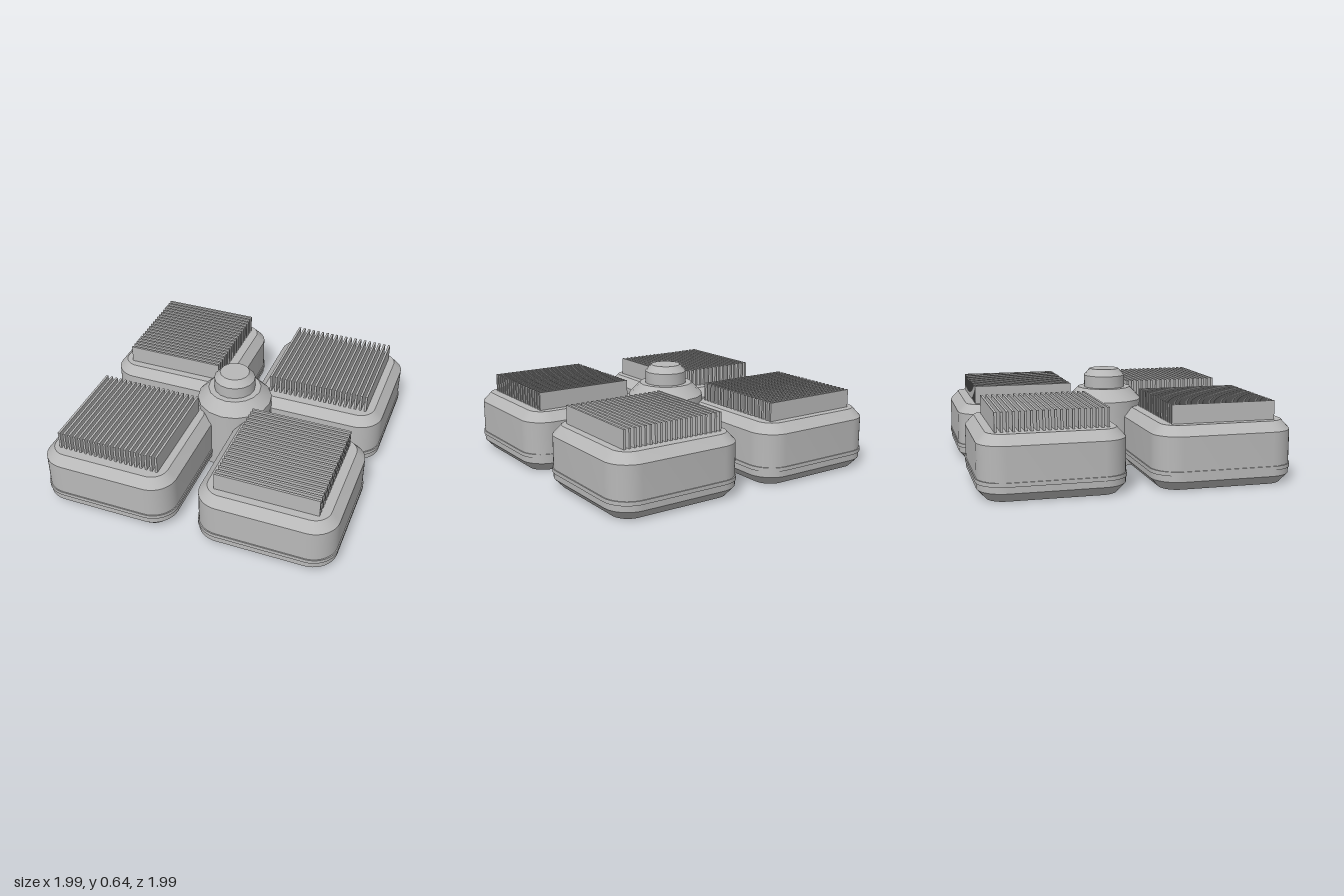
import * as THREE from 'three';
import { toCreasedNormals } from 'three/addons/utils/BufferGeometryUtils.js';

const grey = new THREE.MeshStandardMaterial({ color: 0xb8b8b8 });
grey.name = 'plain grey';
const greyShell = new THREE.MeshStandardMaterial({ color: 0xb8b8b8, side: THREE.DoubleSide });
greyShell.name = 'plain grey shell';

const POD_CENTRE = 0.535;
const FIN_COUNT = 20;

function roundedSquare(half, r) {
  const shape = new THREE.Shape();
  const c = half - r;
  shape.absarc(c, c, r, 0, Math.PI / 2);
  shape.absarc(-c, c, r, Math.PI / 2, Math.PI);
  shape.absarc(-c, -c, r, Math.PI, Math.PI * 1.5);
  shape.absarc(c, -c, r, Math.PI * 1.5, Math.PI * 2);
  shape.closePath();
  return shape;
}

// Rounded square slab standing from y0 to y1, with optional chamfers
function slab(name, half, r, y0, y1, chamfer = 0, inset = 0) {
  const geo = new THREE.ExtrudeGeometry(roundedSquare(half - inset, r - inset), {
    depth: y1 - y0 - 2 * chamfer,
    curveSegments: 5,
    bevelEnabled: chamfer > 0,
    bevelThickness: chamfer,
    bevelSize: inset,
    bevelSegments: 1,
  });
  geo.rotateX(-Math.PI / 2);
  geo.translate(0, y0 + chamfer, 0);
  const mesh = new THREE.Mesh(toCreasedNormals(geo, 0.5), grey);
  mesh.name = name;
  return mesh;
}

function createPod() {
  const pod = new THREE.Group();
  pod.add(slab('podBody', 0.454, 0.165, 0, 0.4, 0.06, 0.056));
  pod.add(slab('podBand', 0.461, 0.17, 0.1, 0.125));

  // Row of thin cooling fins on the top face
  const fins = new THREE.Group();
  fins.name = 'fins';
  const finGeo = new THREE.BoxGeometry(0.676, 0.13, 0.015);
  for (let i = 0; i < FIN_COUNT; i++) {
    const fin = new THREE.Mesh(finGeo, grey);
    fin.name = 'fin';
    fin.position.set(0, 0.455, (i - (FIN_COUNT - 1) / 2) * 0.0358);
    fins.add(fin);
  }
  pod.add(fins);
  return pod;
}

// Hub profile from the open foot up to the cap; doubled points keep edges crisp
function createHub() {
  const profile = [[0.255, 0], [0.255, 0.44], [0.18, 0.52], [0.14, 0.52],
    [0.14, 0.6], [0.1, 0.645], [0, 0.645]];
  const geo = new THREE.LatheGeometry(profile.map(([x, y]) => new THREE.Vector2(x, y)), 16);
  const hub = new THREE.Mesh(toCreasedNormals(geo, 0.5), greyShell);
  hub.name = 'hub';
  return hub;
}

export function createModel() {
  const model = new THREE.Group();
  model.name = 'fourPodUnit';
  // Each quarter turn swaps the fin direction
  for (let i = 0; i < 4; i++) {
    const quarter = new THREE.Group();
    quarter.name = 'podQuarter';
    const pod = createPod();
    pod.name = 'pod';
    pod.position.set(POD_CENTRE, 0, POD_CENTRE);
    quarter.add(pod);
    quarter.rotation.y = (i * Math.PI) / 2;
    model.add(quarter);
  }
  model.add(createHub());
  return model;
}
